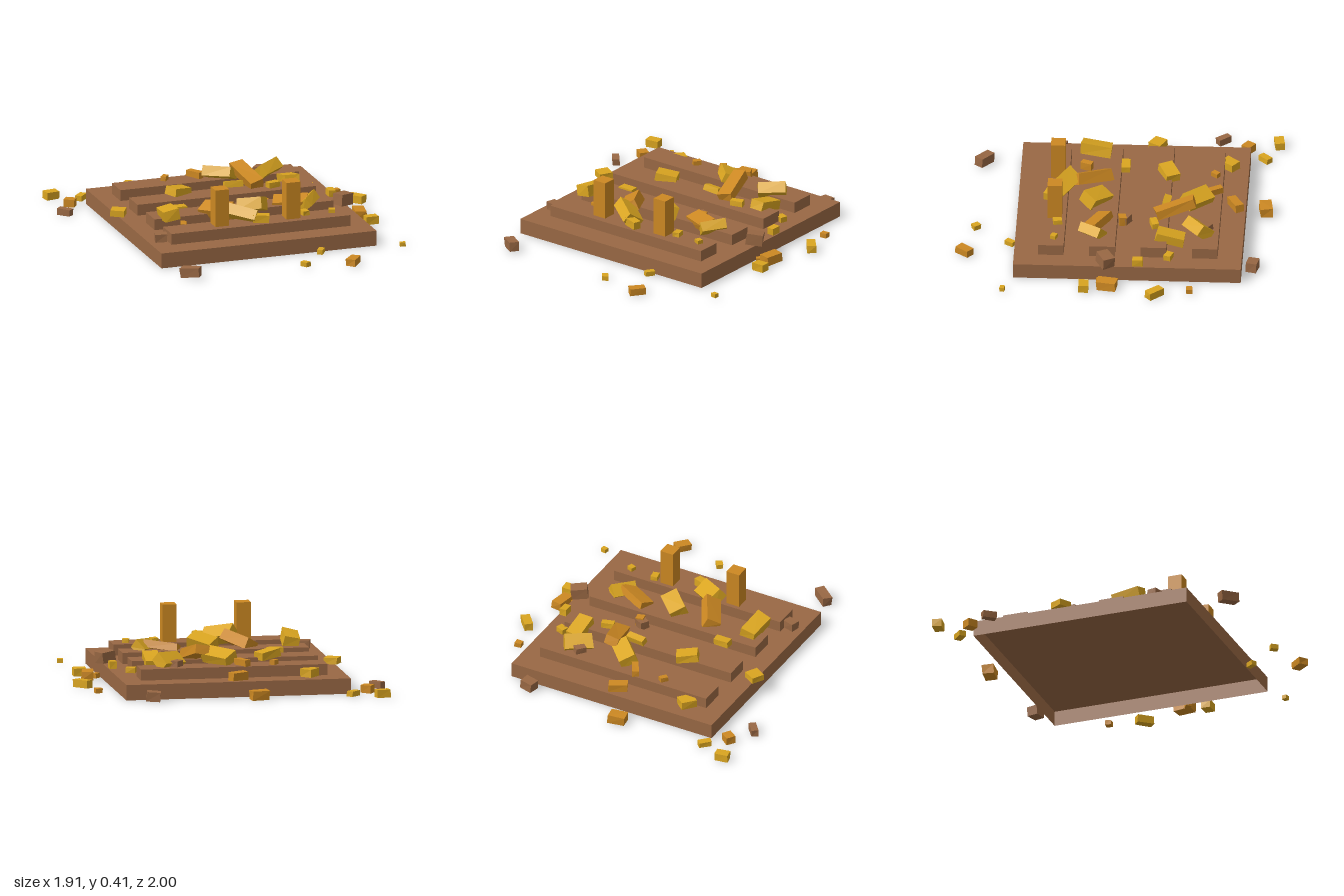
import * as THREE from 'three';

const material = (name, color, extra = {}) => {
  const m = new THREE.MeshStandardMaterial({ color, ...extra });
  m.name = name;
  return m;
};

// Small seeded generator for the uneven corners of the rubble
let seed = 7;
const rand = () => {
  seed = (seed * 16807) % 2147483647;
  return seed / 2147483647 - 0.5;
};

// Slightly irregular block, turned (degrees) and dropped so it rests at the given level
function chunkGeometry(x, z, length, depth, height, yaw, level, pitch, roll) {
  const g = new THREE.BoxGeometry(length, height, depth).toNonIndexed();
  const p = g.attributes.position;
  const skew = Array.from({ length: 8 }, () => [rand(), rand(), rand()]);
  for (let i = 0; i < p.count; i++) {
    const k = skew[(p.getX(i) > 0 ? 1 : 0) + (p.getY(i) > 0 ? 2 : 0) + (p.getZ(i) > 0 ? 4 : 0)];
    p.setXYZ(i, p.getX(i) + k[0] * length * 0.06, p.getY(i) + k[1] * height * 0.08, p.getZ(i) + k[2] * depth * 0.08);
  }
  const d = THREE.MathUtils.degToRad;
  g.applyMatrix4(new THREE.Matrix4().makeRotationFromEuler(new THREE.Euler(d(roll), d(yaw), d(pitch), 'YZX')));
  g.computeBoundingBox();
  g.translate(x, level - g.boundingBox.min.y, z);
  g.computeVertexNormals();
  return g;
}

export function createModel() {
  seed = 7;
  const root = new THREE.Group();
  root.name = 'ruinedPlatform';
  const brown = material('brown wood', 0x996844, { side: THREE.DoubleSide });
  const gold = material('gold', 0xdaa520);
  const orange = material('amber', 0xcc8822);

  const add = (geometry, mat, name) => {
    const mesh = new THREE.Mesh(geometry, mat);
    mesh.name = name;
    root.add(mesh);
  };
  const box = (w, h, d, x, y, z, mat, name) =>
    add(new THREE.BoxGeometry(w, h, d).translate(x, y + h / 2, z), mat, name);

  // Base: a shallow shell, open underneath (the fourth box side is the bottom)
  const base = new THREE.BoxGeometry(1.42, 0.097, 1.42);
  const index = Array.from(base.index.array);
  index.splice(18, 6);
  base.setIndex(index);
  base.clearGroups();
  add(base.translate(0, 0.0485, -0.09), brown, 'base');

  // Four raised beams and two standing posts
  for (let i = 0; i < 4; i++) box(1.18, 0.07, 0.16, 0, 0.097, 0.39 - i * 0.32, brown, 'beam');
  for (const s of [-1, 1]) box(0.09, 0.24, 0.09, s * 0.235 - 0.005, 0.165, 0.38, orange, 'post');

  const scatter = (name, level, rows) => {
    for (const [mat, x, z, length, depth, height, yaw, pitch = 0, roll = 0, lift = 0] of rows) {
      add(chunkGeometry(x, z, length, depth, height, yaw, level + lift, pitch, roll), mat, name);
    }
  };

  // Debris on the ground around the base
  scatter('groundDebris', 0, [
    [gold, -0.88, -0.97, 0.085, 0.06, 0.05, 8],
    [gold, -0.71, -0.89, 0.08, 0.045, 0.035, 45],
    [orange, -0.82, -0.78, 0.07, 0.06, 0.05, -35],
    [brown, -0.91, -0.62, 0.09, 0.045, 0.045, -50],
    [orange, -0.11, -0.92, 0.11, 0.075, 0.06, 8],
    [brown, 0.55, -0.865, 0.085, 0.07, 0.06, -10, 5],
    [orange, 0.83, -0.485, 0.045, 0.04, 0.03, 5],
    [gold, 0.89, -0.27, 0.11, 0.055, 0.05, -50],
    [orange, 0.805, 0.03, 0.12, 0.075, 0.055, 80],
    [orange, 0.745, 0.075, 0.04, 0.035, 0.03, 40],
    [gold, 0.83, 0.175, 0.08, 0.06, 0.05, 0],
    [gold, 0.86, 0.68, 0.035, 0.03, 0.025, -10],
    [gold, 0.33, 0.655, 0.06, 0.035, 0.03, 55],
    [gold, 0.15, 0.875, 0.05, 0.04, 0.03, -55],
    [orange, 0.445, 0.935, 0.1, 0.06, 0.045, 50],
    [brown, -0.6, 0.855, 0.12, 0.06, 0.06, -38, 4],
  ]);

  // Debris lying on the base between and beside the beams
  scatter('baseDebris', 0.097, [
    [gold, -0.47, -0.68, 0.1, 0.075, 0.05, 50],
    [orange, -0.01, -0.735, 0.12, 0.055, 0.05, 28],
    [gold, 0.6, -0.345, 0.06, 0.045, 0.035, -20],
    [gold, 0.68, -0.155, 0.065, 0.045, 0.045, 88],
    [gold, -0.7, -0.22, 0.09, 0.085, 0.04, -30],
    [gold, -0.37, -0.035, 0.1, 0.055, 0.04, 0, 0, 0, 0.04],
    [brown, 0.19, -0.055, 0.07, 0.06, 0.05, -30],
    [orange, 0.21, -0.04, 0.05, 0.045, 0.06, 10],
    [brown, 0.69, 0.045, 0.105, 0.08, 0.07, 30, -5],
    [orange, -0.42, 0.21, 0.07, 0.04, 0.05, 70],
    [brown, -0.63, 0.38, 0.075, 0.06, 0.05, -15],
  ]);

  // Small pieces on top of the beams
  scatter('beamDebris', 0.165, [
    [orange, -0.26, -0.6, 0.05, 0.035, 0.03, 50],
    [orange, -0.06, -0.6, 0.11, 0.04, 0.04, -60],
    [brown, 0.35, -0.57, 0.07, 0.05, 0.04, 50],
    [gold, 0.09, -0.31, 0.12, 0.045, 0.04, -5, 0, -15],
    [gold, 0.33, -0.245, 0.08, 0.045, 0.035, 15],
    [gold, 0.02, 0.42, 0.1, 0.05, 0.05, -20],
    [gold, 0.325, 0.36, 0.055, 0.045, 0.03, 100],
    [gold, 0.5, 0.375, 0.04, 0.035, 0.025, -20],
  ]);

  // Large broken blocks leaning on the beams
  scatter('brokenBlock', 0.15, [
    [gold, 0.07, -0.5, 0.19, 0.11, 0.065, -45, 5, -25],
    [orange, 0.2, -0.37, 0.25, 0.09, 0.06, -77, -16, 12],
    [gold, 0.39, -0.52, 0.18, 0.1, 0.075, 37, 3, -42, -0.02],
    [gold, 0.47, -0.35, 0.18, 0.095, 0.06, 88, -14, 0, -0.03],
    [gold, -0.27, -0.31, 0.14, 0.095, 0.05, 25, -8],
    [gold, -0.5, 0.155, 0.19, 0.1, 0.07, 85, -8, -12, -0.01],
    [orange, -0.18, 0.165, 0.24, 0.1, 0.07, -60, 8, 28, -0.03],
    [gold, -0.08, 0.335, 0.19, 0.11, 0.07, -35, -10, -35, -0.02],
    [gold, 0.06, 0.13, 0.17, 0.11, 0.08, -40, 12, -20, -0.03],
    [orange, 0.32, 0.11, 0.22, 0.1, 0.05, -25, 5, 18, -0.02],
    [gold, 0.43, 0.135, 0.16, 0.08, 0.06, 52, 5, -40, -0.03],
  ]);

  return root;
}
